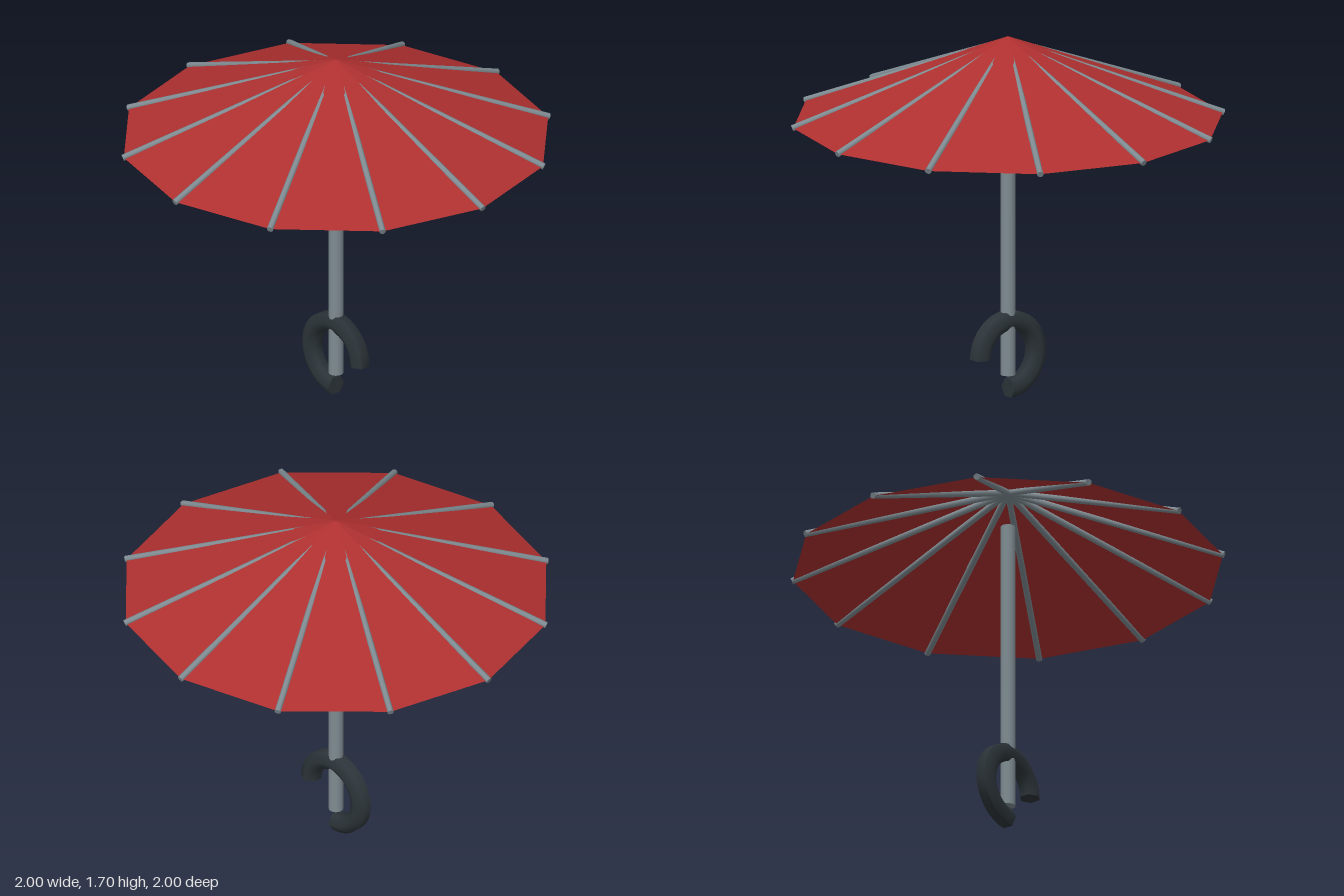
import * as THREE from 'three';

const metal = new THREE.MeshStandardMaterial({ color: 0x7f8c92 });
const cloth = new THREE.MeshStandardMaterial({ color: 0xb03030, flatShading: true, side: THREE.DoubleSide });
const rubber = new THREE.MeshStandardMaterial({ color: 0x2c3439 });

const PANELS = 12;
const RIM_Y = 1.3, APEX_Y = 1.695, RIM_R = 0.988;

function addMesh(parent, name, geometry, material) {
  const mesh = new THREE.Mesh(geometry, material);
  mesh.name = name;
  parent.add(mesh);
  return mesh;
}

// Straight round bar between two points
function addBar(parent, name, a, b, radius, sides) {
  const bar = addMesh(parent, name, new THREE.CylinderGeometry(radius, radius, a.distanceTo(b), sides), metal);
  bar.position.copy(a).add(b).multiplyScalar(0.5);
  bar.quaternion.setFromUnitVectors(new THREE.Vector3(0, 1, 0), b.clone().sub(a).normalize());
}

// Three-quarter ring with a six-sided section and closed ends
function createHandle() {
  const R = 0.16, r = 0.048;
  const handle = new THREE.Group();
  handle.name = 'handle';
  const section = [];
  for (let i = 0; i <= 6; i++) {
    const a = Math.PI / 6 + (i * Math.PI) / 3;
    section.push(new THREE.Vector2(R + r * Math.cos(a), r * Math.sin(a)));
  }
  const ring = new THREE.LatheGeometry(section, 36, Math.PI / 2, Math.PI * 1.5).rotateX(Math.PI / 2);
  addMesh(handle, 'handleRing', ring, rubber);
  const tip = new THREE.CircleGeometry(r, 6, Math.PI / 2).rotateX(Math.PI / 2).translate(R, 0, 0);
  addMesh(handle, 'handleTipCap', tip, rubber);
  const end = new THREE.CircleGeometry(r, 6).rotateY(Math.PI / 2).translate(0, -R, 0);
  addMesh(handle, 'handleEndCap', end, rubber);
  handle.position.y = R + r * Math.cos(Math.PI / 6);
  return handle;
}

export function createModel() {
  const umbrella = new THREE.Group();
  umbrella.name = 'umbrella';

  // Canopy: open faceted cone
  const canopy = new THREE.ConeGeometry(RIM_R, APEX_Y - RIM_Y, PANELS, 1, true);
  addMesh(umbrella, 'canopy', canopy, cloth).position.y = (APEX_Y + RIM_Y) / 2;

  // Ribs along the canopy folds, dipping under the cloth near the apex
  const ribs = new THREE.Group();
  ribs.name = 'ribs';
  const hub = new THREE.Vector3(0, APEX_Y - 0.019, 0);
  for (let i = 0; i < PANELS; i++) {
    const a = (i / PANELS) * Math.PI * 2;
    const rim = new THREE.Vector3(Math.sin(a) * 0.993, RIM_Y, Math.cos(a) * 0.993);
    addBar(ribs, 'rib', hub, rim, 0.015, 8);
  }
  umbrella.add(ribs);

  // Shaft stops short of the apex
  addBar(umbrella, 'shaft', new THREE.Vector3(0, 0.105, 0), new THREE.Vector3(0, 1.505, 0), 0.034, 16);

  umbrella.add(createHandle());
  return umbrella;
}
